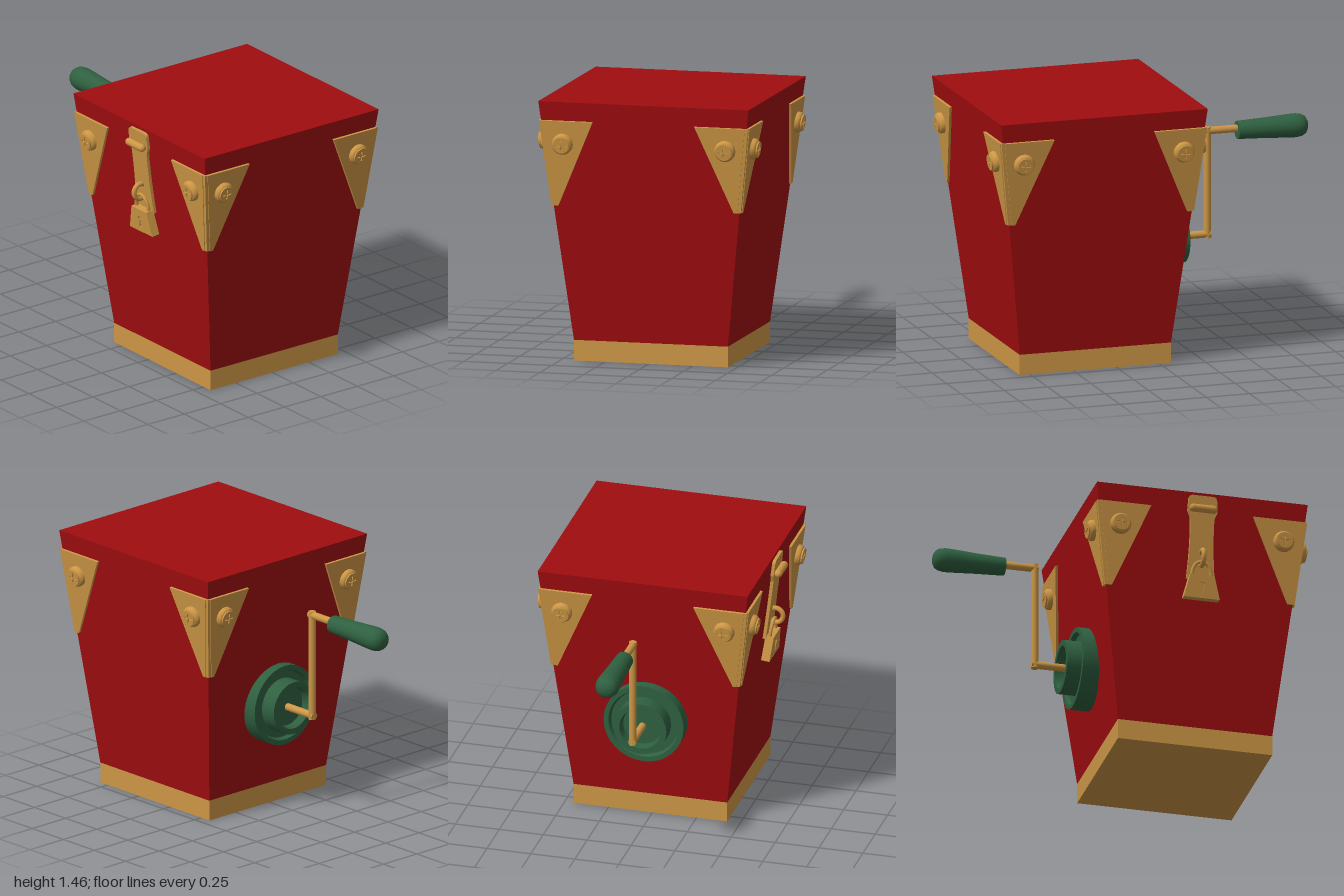
import * as THREE from 'three';
import { toCreasedNormals } from 'three/addons/utils/BufferGeometryUtils.js';

const CX = 0.3725, CZ = -0.012;            // box centre
const BASE = 0.115, TOP = 1.46;            // foot of the taper, top of the box
const HB = 0.4375, HT = 0.597;             // half widths at those heights
const SLOPE = (HT - HB) / (TOP - BASE);
const TILT = Math.atan(SLOPE);
const half = (y) => HB + SLOPE * (y - BASE);
const up = (y) => (y - BASE) / Math.cos(TILT);   // height measured along a leaning wall

const colour = (name, hex) => {
  const m = new THREE.MeshStandardMaterial({ color: hex });
  m.name = name;
  return m;
};

export function createModel() {
  const red = colour('red', 0xa00d0f);
  const brass = colour('brass', 0xcc9645);
  const green = colour('green', 0x2f6040);
  const root = new THREE.Group();
  root.name = 'crankBox';

  const add = (parent, name, geo, mat, x = 0, y = 0, z = 0) => {
    const mesh = new THREE.Mesh(geo, mat);
    mesh.name = name;
    mesh.position.set(x, y, z);
    parent.add(mesh);
    return mesh;
  };
  const shape = (pts) => new THREE.Shape(pts.map(([x, y]) => new THREE.Vector2(x, y)));
  const plate = (s, depth) =>
    new THREE.ExtrudeGeometry(s, { depth, bevelEnabled: false, curveSegments: 16 });
  const lathe = (pts, seg) =>
    toCreasedNormals(new THREE.LatheGeometry(pts.map(([r, h]) => new THREE.Vector2(r, h)), seg), 0.6);

  // Tapered body and straight foot
  const r2 = Math.SQRT2;
  const body = new THREE.CylinderGeometry(HT * r2, HB * r2, TOP - BASE, 4, 1, false, Math.PI / 4);
  add(root, 'body', toCreasedNormals(body, 0.5), red, CX, (TOP + BASE) / 2, CZ);
  add(root, 'foot', new THREE.BoxGeometry(HB * 2, BASE, HB * 2), brass, CX, BASE / 2, CZ);

  // Shared corner plate, corner strip and screw parts
  const yT = 1.355, yB = 0.877;
  const hT = half(yT), hB = half(yB);
  const cornerPlate = plate(shape([
    [hB - 0.03, up(yB)], [hB - 0.008, up(yB)], [hT - 0.008, up(yT)], [hT - 0.295, up(yT)],
  ]), 0.014);
  const cornerStrip = plate(shape([
    [hB - 0.009, up(yB)], [hB + 0.01, up(yB)], [hT + 0.01, up(yT)], [hT - 0.009, up(yT)],
  ]), 0.01);
  const dome = lathe([[0.058, 0], [0.058, 0.022], [0.054, 0.03], [0.045, 0.036], [0, 0.036]], 28);
  dome.rotateX(Math.PI / 2);
  const slotted = new THREE.Shape().absarc(0, 0, 0.045, 0, Math.PI * 2);
  const a = 0.005, b = 0.028;
  slotted.holes.push(shape([
    [a, a], [b, a], [b, -a], [a, -a], [a, -b], [-a, -b],
    [-a, -a], [-b, -a], [-b, a], [-a, a], [-a, b], [a, b],
  ]));
  const screwFace = plate(slotted, 0.009);

  // Four leaning walls, each with a mirrored pair of corner plates
  const walls = ['front', 'left', 'back', 'right'].map((name, i) => {
    const turn = new THREE.Group();
    turn.name = name + 'Wall';
    turn.position.set(CX, BASE, CZ);
    turn.rotation.y = i * Math.PI / 2;
    const wall = new THREE.Group();
    wall.name = name + 'Fittings';
    wall.position.z = HB;
    wall.rotation.x = TILT;
    turn.add(wall);
    root.add(turn);
    for (const side of [-1, 1]) {
      const corner = new THREE.Group();
      corner.name = 'cornerBracket';
      corner.scale.x = side;
      add(corner, 'cornerPlate', cornerPlate, brass);
      add(corner, 'cornerStrip', cornerStrip, brass);
      add(corner, 'screwHead', dome, brass, 0.462, up(1.228), 0.008);
      add(corner, 'screwSlot', screwFace, brass, 0.462, up(1.228), 0.043);
      wall.add(corner);
    }
    return wall;
  });

  // Hasp with hinge pin on the front wall
  const front = walls[0];
  const hasp = new THREE.Shape();
  hasp.moveTo(-0.08, up(0.96));
  hasp.lineTo(0.08, up(0.96));
  hasp.quadraticCurveTo(0.062, up(1.15), 0.068, up(1.31));
  hasp.lineTo(0.084, up(1.35));
  hasp.lineTo(0.08, up(1.42));
  hasp.quadraticCurveTo(0.076, up(1.44), 0.055, up(1.44));
  hasp.lineTo(-0.055, up(1.44));
  hasp.quadraticCurveTo(-0.076, up(1.44), -0.08, up(1.42));
  hasp.lineTo(-0.084, up(1.35));
  hasp.lineTo(-0.068, up(1.31));
  hasp.quadraticCurveTo(-0.062, up(1.15), -0.08, up(0.96));
  add(front, 'hasp', plate(hasp, 0.018), brass);
  add(front, 'hingePin', new THREE.CapsuleGeometry(0.022, 0.115, 6, 16), brass, 0, up(1.36), 0.037)
    .rotation.z = Math.PI / 2;
  add(front, 'staple', new THREE.TorusGeometry(0.043, 0.014, 10, 28), brass, 0, up(1.078), 0.038)
    .rotation.y = Math.PI / 2;

  // Padlock with a cut keyhole and a shackle
  const lockShape = shape([[-0.102, up(0.84)], [0.102, up(0.84)], [0.068, up(0.975)], [-0.068, up(0.975)]]);
  add(front, 'lockBody', plate(lockShape, 0.04), brass, 0, 0, 0.012);
  const lockFace = lockShape.clone();
  const key = new THREE.Path();
  const ky = up(0.918);
  key.moveTo(-0.008, ky - 0.05);
  key.lineTo(-0.008, ky - 0.013);
  key.absarc(0, ky, 0.016, Math.PI * 1.33, -Math.PI * 0.33, true);
  key.lineTo(0.008, ky - 0.05);
  lockFace.holes.push(key);
  add(front, 'lockFace', plate(lockFace, 0.009), brass, 0, 0, 0.051);
  const shackle = new THREE.CatmullRomCurve3(
    [[-0.055, 0.96], [-0.052, 1.0], [-0.034, 1.04], [0, 1.056], [0.034, 1.04], [0.052, 1.0], [0.055, 0.96]]
      .map(([x, y]) => new THREE.Vector3(x, up(y), 0.034)));
  add(front, 'shackle', new THREE.TubeGeometry(shackle, 28, 0.01, 10), brass);

  // Crank mount: rimmed disc with a hollow hub, facing -x
  const mount = lathe([
    [0, 0], [0.228, 0], [0.228, 0.115], [0.2, 0.115], [0.19, 0.09], [0.15, 0.09],
    [0.15, 0.185], [0.118, 0.185], [0.11, 0.135], [0, 0.135],
  ], 32);
  add(root, 'crankMount', mount, green, -0.09, 0.602, CZ).rotation.z = Math.PI / 2;

  // Crank rods with square elbows
  const rod = (name, x0, y0, x1, y1) => {
    const geo = new THREE.CylinderGeometry(0.021, 0.021, Math.hypot(x1 - x0, y1 - y0), 16);
    add(root, name, geo, brass, (x0 + x1) / 2, (y0 + y1) / 2, CZ)
      .rotation.z = y0 === y1 ? Math.PI / 2 : 0;
  };
  rod('crankAxle', -0.2, 0.597, -0.441, 0.597);
  rod('crankArm', -0.422, 0.576, -0.422, 1.201);
  rod('crankPin', -0.403, 1.18, -0.62, 1.18);

  // Grip
  const grip = lathe([
    [0, 0], [0.05, 0], [0.056, 0.15], [0.065, 0.3], [0.066, 0.34], [0.061, 0.37],
    [0.05, 0.39], [0.03, 0.402], [0, 0.406],
  ], 24);
  add(root, 'grip', grip, green, -0.594, 1.17, CZ).rotation.z = Math.PI / 2;

  return root;
}
